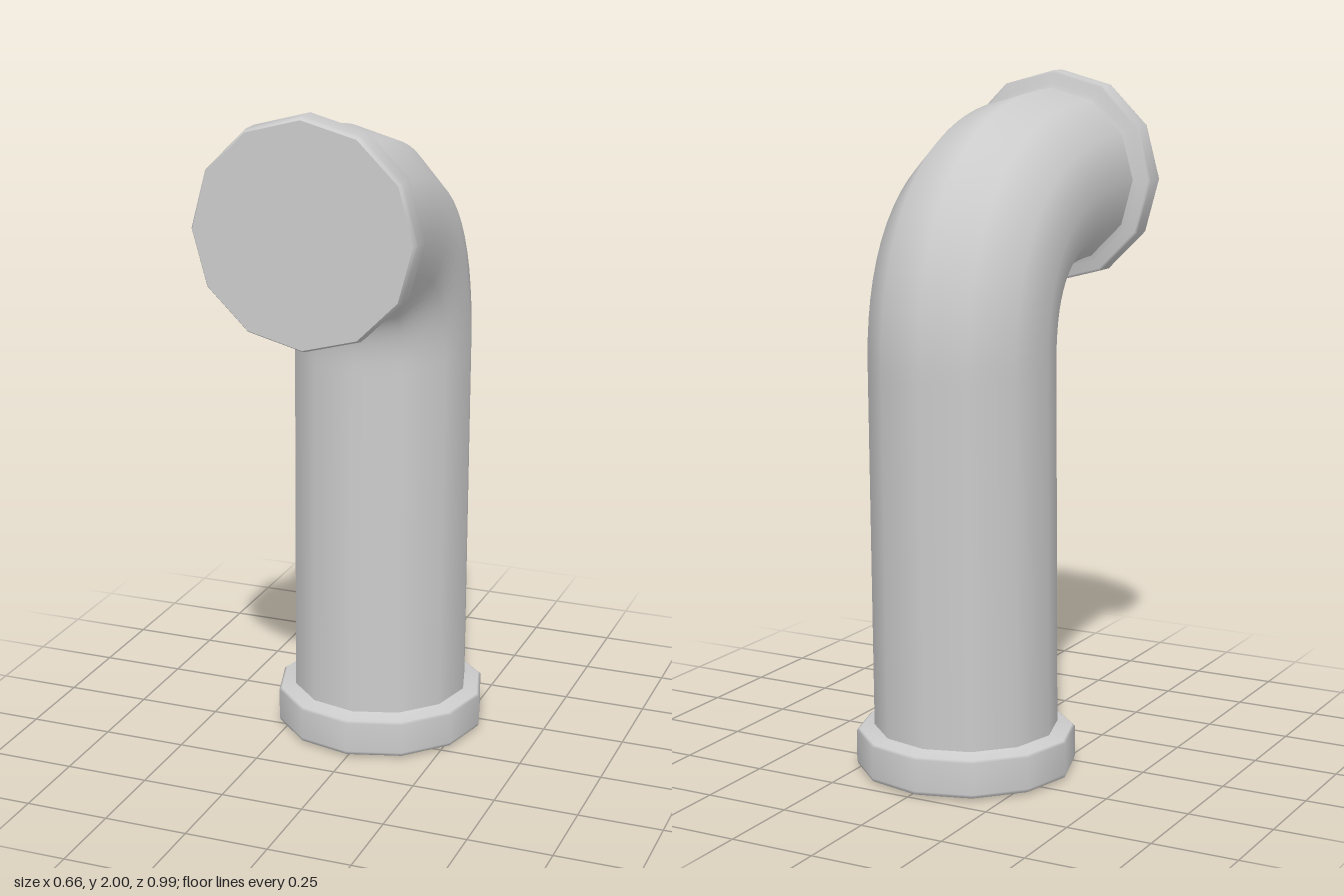
import * as THREE from 'three';

const SIDES = 12;

// Rounded collar with a closed end at y = 0; the pipe enters from above.
function makeFlange(name, height, capRadius, material) {
  const group = new THREE.Group();
  group.name = name;
  const profile = [
    [capRadius, 0], [0.317, 0.008], [0.32, 0.018], [0.32, height - 0.006],
    [0.312, height], [0.285, height + 0.003], [0.262, height + 0.014],
  ].map(([r, y]) => new THREE.Vector2(r, y));
  const rim = new THREE.Mesh(new THREE.LatheGeometry(profile, SIDES), material);
  rim.name = name + 'Rim';
  const cap = new THREE.Mesh(new THREE.CircleGeometry(capRadius, SIDES), material);
  cap.name = name + 'Cap';
  cap.rotation.x = Math.PI / 2;
  group.add(rim, cap);
  return group;
}

export function createModel() {
  const model = new THREE.Group();
  model.name = 'elbowPipe';
  const material = new THREE.MeshStandardMaterial({ color: 0xcccccc, side: THREE.DoubleSide });

  // Slightly leaning upright followed by a bend towards the front
  const point = (y, z) => new THREE.Vector3(0, y, z);
  const path = new THREE.CurvePath();
  path.add(new THREE.LineCurve3(point(0.05, -0.174), point(1.2, -0.195)));
  path.add(new THREE.QuadraticBezierCurve3(point(1.2, -0.195), point(1.68, -0.2), point(1.68, 0.41)));
  path.add(new THREE.LineCurve3(point(1.68, 0.41), point(1.68, 0.45)));
  const pipe = new THREE.Mesh(new THREE.TubeGeometry(path, 48, 0.268, SIDES), material);
  pipe.name = 'pipe';

  // Base collar on the ground
  const base = makeFlange('baseFlange', 0.116, 0.29, material);
  base.position.z = -0.175;

  // Mouth collar facing forward
  const mouth = makeFlange('mouthFlange', 0.083, 0.312, material);
  mouth.rotation.x = -Math.PI / 2;
  mouth.position.set(0, 1.68, 0.49);

  // The whole pipe is turned slightly about the vertical
  const body = new THREE.Group();
  body.name = 'pipeBody';
  body.add(pipe, base, mouth);
  body.rotation.y = 0.03;
  body.position.x = -0.005;
  model.add(body);
  return model;
}
